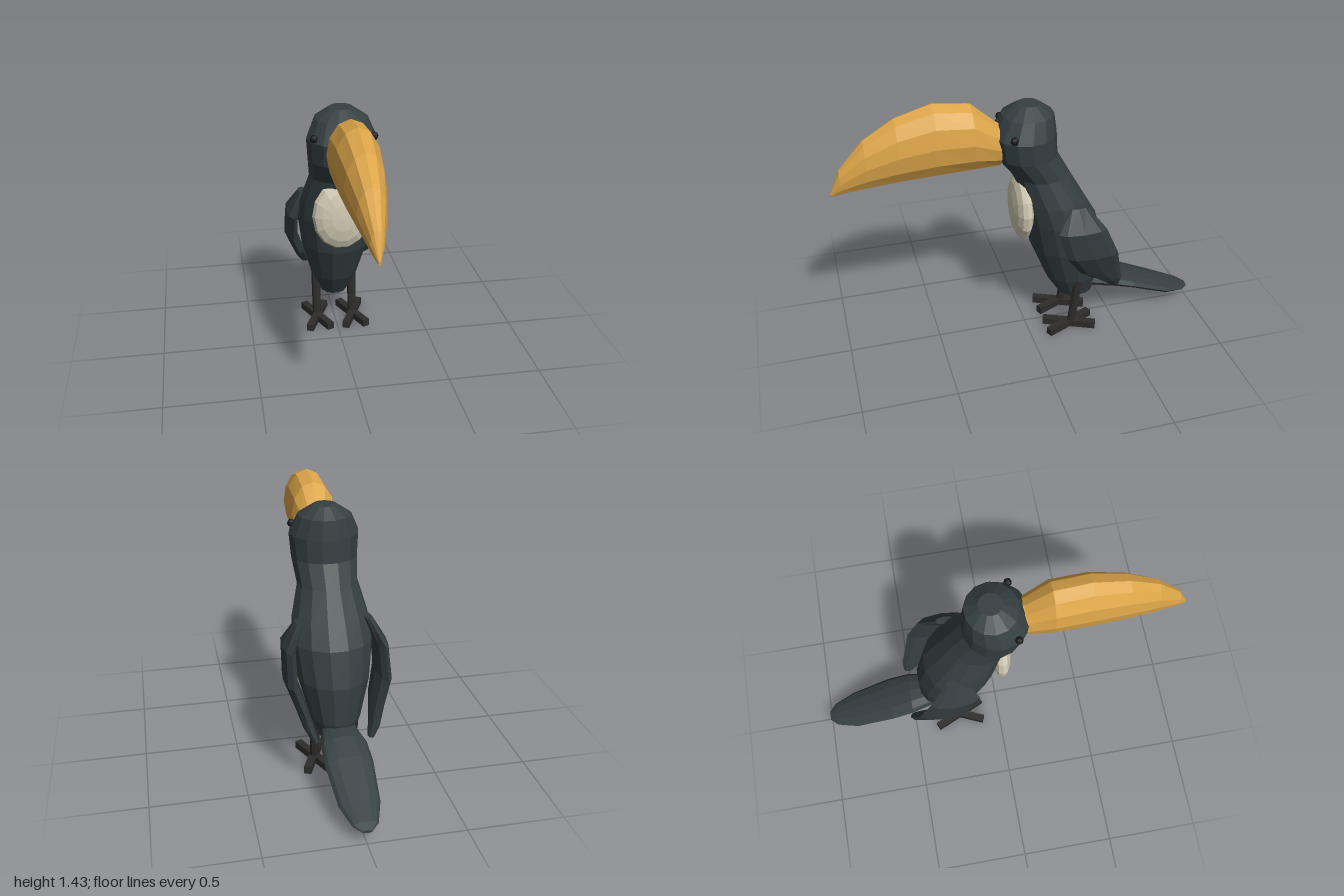
import * as THREE from 'three';

const mat = (color) => new THREE.MeshStandardMaterial({ color, flatShading: true });
const dark = mat(0x353f42), wingMat = mat(0x323b3e), legMat = mat(0x2d2c2b);
const orange = mat(0xdca549), cream = mat(0xd3ccb6), black = mat(0x16181a);

// Joins elliptical rings [x, y, z, rx, rv]. Rings lie flat (rv along z, listed upwards)
// or upright (rv along y, listed towards -z). Ends are capped.
function loft(sections, sides, upright = false) {
  const pos = [], index = [], n = sections.length;
  for (const [x, y, z, rx, rv] of sections) {
    for (let j = 0; j < sides; j++) {
      const a = (j / sides) * Math.PI * 2;
      const u = Math.cos(a) * rx, v = Math.sin(a) * rv;
      pos.push(x + u, y + (upright ? v : 0), z + (upright ? 0 : v));
    }
  }
  for (let i = 0; i < n - 1; i++) {
    for (let j = 0; j < sides; j++) {
      const k = (j + 1) % sides, a = i * sides, b = a + sides;
      index.push(a + j, b + j, a + k, a + k, b + j, b + k);
    }
  }
  const last = (n - 1) * sides;
  for (let j = 1; j < sides - 1; j++) {
    index.push(0, j, j + 1, last, last + j + 1, last + j);
  }
  const g = new THREE.BufferGeometry();
  g.setAttribute('position', new THREE.Float32BufferAttribute(pos, 3));
  g.setIndex(index);
  g.computeVertexNormals();
  return g;
}

export function createModel() {
  const model = new THREE.Group();
  model.name = 'bird';
  const add = (name, geometry, material, parent = model) => {
    const m = new THREE.Mesh(geometry, material);
    m.name = name;
    parent.add(m);
    return m;
  };

  // Leaning body running up into neck and head: [y, front z, back z, half width]
  const profile = [
    [0.18, -0.2, -0.4, 0.08], [0.31, -0.12, -0.44, 0.135], [0.52, -0.035, -0.44, 0.19],
    [0.71, 0.0, -0.39, 0.215], [0.83, 0.025, -0.32, 0.2], [0.98, 0.065, -0.235, 0.16],
    [1.1, 0.155, -0.17, 0.175], [1.22, 0.178, -0.163, 0.184], [1.32, 0.12, -0.15, 0.14],
    [1.373, 0.04, -0.08, 0.06],
  ];
  add('body', loft(profile.map(([y, f, b, w]) => [0, y, (f + b) / 2, w, (f - b) / 2]), 14), dark);

  // Curved beak: [z, top y, bottom y, half width]
  const beak = [
    [1.0, 1.01, 0.987, 0.006], [0.95, 1.13, 0.995, 0.033], [0.82, 1.275, 1.01, 0.07],
    [0.66, 1.372, 1.025, 0.1], [0.47, 1.428, 1.035, 0.118], [0.28, 1.405, 1.045, 0.12],
    [0.15, 1.29, 1.05, 0.092], [0.06, 1.24, 1.08, 0.07],
  ];
  add('beak', loft(beak.map(([z, t, b, w]) => [0, (t + b) / 2, z, w, (t - b) / 2]), 12, true), orange);

  // Pale chest patch
  const patch = add('chestPatch', new THREE.SphereGeometry(1, 14, 8).rotateX(Math.PI / 2), cream);
  patch.scale.set(0.16, 0.2, 0.06);
  patch.position.set(0, 0.785, 0.022);

  // Flat tail sloping down behind
  add('tail', loft([
    [0, 0.26, -0.36, 0.09, 0.05], [0, 0.243, -0.5, 0.12, 0.047], [0, 0.205, -0.62, 0.124, 0.038],
    [0, 0.113, -0.84, 0.105, 0.034], [0, 0.08, -0.96, 0.065, 0.018], [0, 0.07, -1, 0.025, 0.008],
  ], 12, true), dark);

  // Folded wing: [y, front z, back z, centre x, half thickness]
  const wing = [
    [0.27, -0.46, -0.515, 0.145, 0.018], [0.33, -0.385, -0.515, 0.17, 0.028],
    [0.42, -0.26, -0.49, 0.198, 0.032], [0.55, -0.17, -0.455, 0.243, 0.036],
    [0.71, -0.12, -0.385, 0.24, 0.034], [0.83, -0.19, -0.29, 0.18, 0.022],
  ];
  for (const [side, s] of [['left', 1], ['right', -1]]) {
    add(side + 'Wing', loft(wing.map(([y, f, b, x, t]) => [s * x, y, (f + b) / 2, t, (f - b) / 2]), 8), wingMat);

    const eye = add(side + 'Eye', new THREE.SphereGeometry(0.021, 8, 6), black);
    eye.position.set(s * 0.155, 1.245, 0.093);

    const leg = add(side + 'Leg', new THREE.CylinderGeometry(0.026, 0.024, 0.28, 8), legMat);
    leg.position.set(s * 0.105, 0.16, -0.265);
    leg.rotation.x = -0.13;

    // Two crossed bars give two toes forward and two back
    const foot = new THREE.Group();
    foot.name = side + 'Foot';
    foot.position.set(s * 0.105, 0.02, -0.235);
    for (const turn of [-0.42, 0.42]) {
      add('toes', new THREE.BoxGeometry(0.04, 0.04, 0.3), legMat, foot).rotation.y = turn;
    }
    model.add(foot);
  }
  return model;
}
